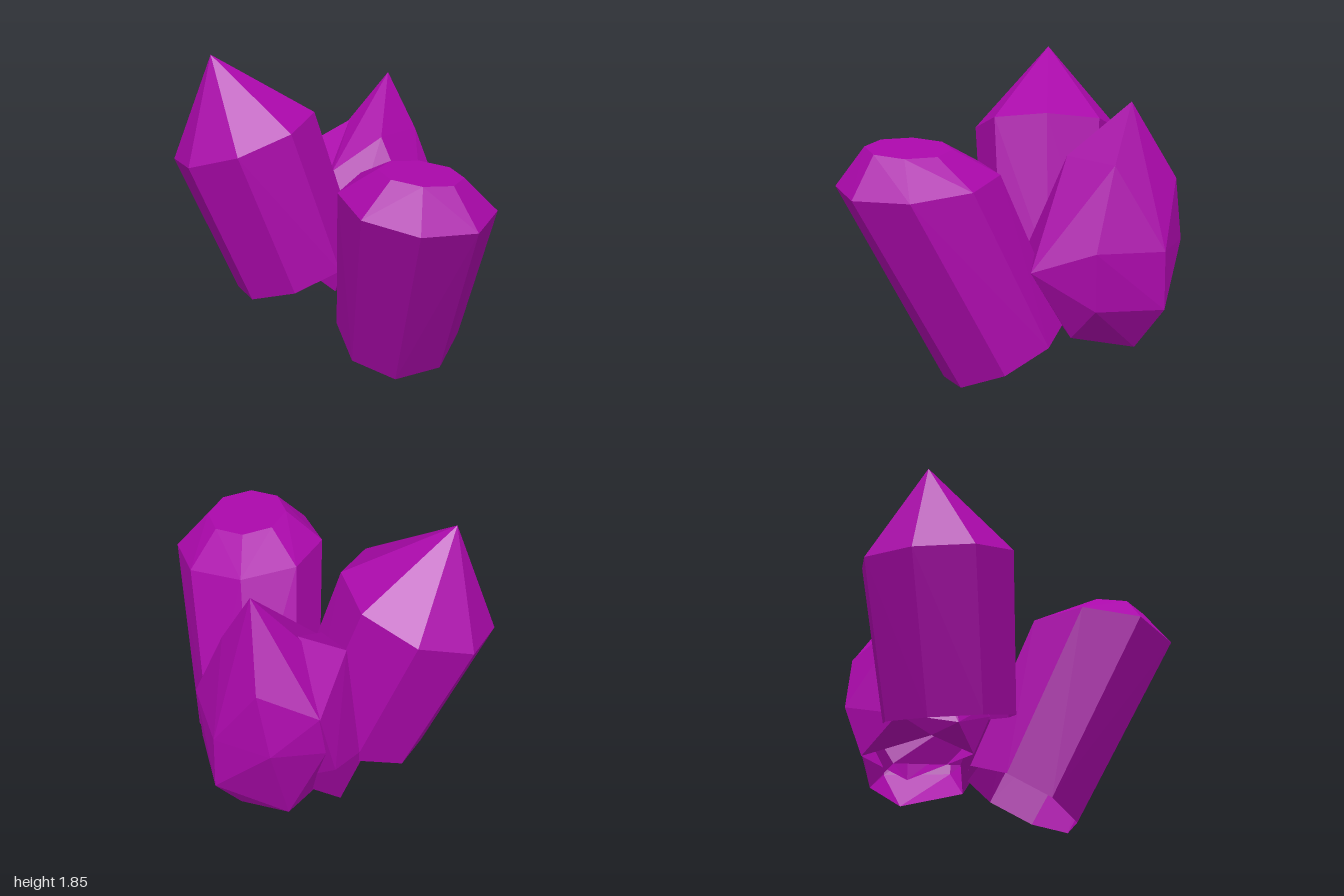
import * as THREE from 'three';
import { ConvexGeometry } from 'three/addons/geometries/ConvexGeometry.js';

const V = (x, y, z) => new THREE.Vector3(x, y, z);

// Tilted octagon: y follows the slopes sx, sz away from the centre
function octagon(cx, cy, cz, rx, rz, sx, sz) {
  const points = [];
  for (let i = 0; i < 8; i++) {
    const a = (i + 0.5) * Math.PI / 4;
    const dx = rx * Math.cos(a), dz = rz * Math.sin(a);
    points.push(V(cx + dx, cy + sx * dx + sz * dz, cz + dz));
  }
  return points;
}

// Convex solid around the points, left open where it faces down
function openHull(points) {
  const hull = new ConvexGeometry(points);
  const position = hull.getAttribute('position');
  const normal = hull.getAttribute('normal');
  const kept = [];
  for (let i = 0; i < position.count; i += 3) {
    if (normal.getY(i) < -0.8) continue;
    for (let k = i; k < i + 3; k++) kept.push(position.getX(k), position.getY(k), position.getZ(k));
  }
  const geometry = new THREE.BufferGeometry();
  geometry.setAttribute('position', new THREE.Float32BufferAttribute(kept, 3));
  geometry.computeVertexNormals();
  return geometry;
}

export function createModel() {
  const group = new THREE.Group();
  const material = new THREE.MeshStandardMaterial({
    color: 0xaa08aa, flatShading: true, side: THREE.DoubleSide,
  });

  function crystal(name, points) {
    const mesh = new THREE.Mesh(openHull(points), material);
    mesh.name = name;
    group.add(mesh);
  }

  // Front crystal with a cut-off tip
  crystal('flatTopCrystal', [
    ...octagon(0.25, 1.387, 0.613, 0.24, 0.25, -0.1, 0),
    ...octagon(0.255, 1.2, 0.563, 0.449, 0.47, -0.066, -0.1),
    ...octagon(0.355, 0.175, 0.08, 0.385, 0.347, 0.09, -0.5),
  ]);

  // Tall leaning crystal with a pointed tip
  crystal('tallCrystal', [
    V(-0.6, 1.85, -0.61),
    ...octagon(-0.43, 1.345, -0.53, 0.433, 0.46, 0.33, 0.14),
    ...octagon(-0.13, 0.47, -0.41, 0.384, 0.4, 0.35, 0.12),
  ]);

  // Sharp crystal with a bulging body: tip, shoulder, widest ring, lower ring, foot
  crystal('sharpCrystal', [
    V(0.565, 1.63, -0.62),
    V(0.62, 1.18, -0.89), V(0.69, 1.29, -0.46), V(0.39, 1.31, -0.3),
    V(0.09, 1.1, -0.37), V(0.2, 1.2, -0.67), V(0.29, 1.0, -0.965),
    V(0.82, 0.82, -0.29), V(0.825, 0.8, -0.72), V(0.57, 0.8, -0.96), V(0.25, 0.75, -0.96),
    V(0.57, 0.68, 0), V(0.41, 0.7, -0.06), V(0.1, 0.65, -0.14), V(0.04, 0.65, -0.2),
    V(0.83, 0.46, -0.72), V(0.8, 0.48, -0.3),
    V(0.66, 0.2, -0.62), V(0.43, 0.23, -0.82), V(0.6, 0.28, -0.24),
    V(0.2, 0.32, -0.3), V(0.18, 0.3, -0.7),
  ]);

  // Small crystal wedged between the two pointed ones
  crystal('smallCrystal', [
    V(0.31, 1.335, -0.64),
    V(0.29, 1.0, -0.97), V(0.04, 1.2, -0.67), V(0.09, 1.13, -0.38),
    V(0.21, 0.65, -1.0), V(0.1, 0.6, -0.14), V(0.04, 0.62, -0.2), V(-0.1, 0.5, -0.7),
    V(-0.1, 0.47, -0.35), V(0.45, 0.6, -0.6),
    V(0.14, 0.32, -0.89), V(0.06, 0.34, -0.24), V(-0.05, 0.4, -0.5), V(0.4, 0.28, -0.6),
  ]);

  return group;
}
